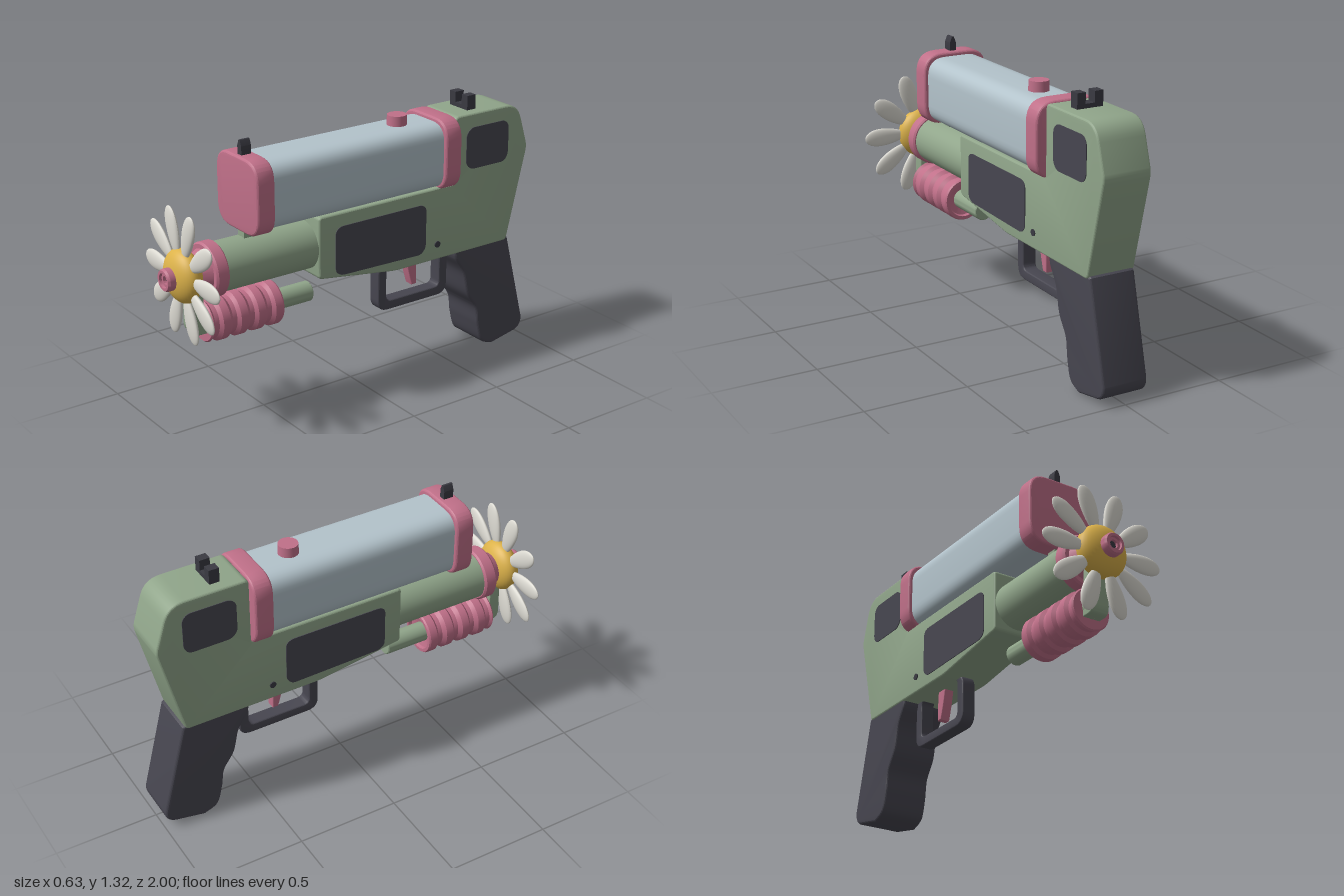
import * as THREE from 'three';
import { toCreasedNormals } from 'three/addons/utils/BufferGeometryUtils.js';

const V = (x, y) => new THREE.Vector2(x, y);
const mat = (name, color) => {
  const m = new THREE.MeshStandardMaterial({ color });
  m.name = name;
  return m;
};

// Closed polygon with rounded corners; each point is [x, y, radius]
function roundedShape(pts) {
  const s = new THREE.Shape();
  pts.forEach(([x, y, r = 0.02], i) => {
    const c = V(x, y);
    const toward = (p) => {
      const d = V(p[0], p[1]).sub(c);
      return c.clone().addScaledVector(d.clone().normalize(), Math.min(r, d.length() * 0.48));
    };
    const a = toward(pts[(i + pts.length - 1) % pts.length]);
    const b = toward(pts[(i + 1) % pts.length]);
    if (i === 0) s.moveTo(a.x, a.y); else s.lineTo(a.x, a.y);
    s.quadraticCurveTo(x, y, b.x, b.y);
  });
  s.closePath();
  return s;
}
const rect = (x0, x1, y0, y1, r) => roundedShape([[x0, y0, r], [x1, y0, r], [x1, y1, r], [x0, y1, r]]);

// Extrusion centred on its own depth, with the bevel kept inside the outline
function extrude(shape, depth, bevel) {
  const g = new THREE.ExtrudeGeometry(shape, {
    depth: depth - 2 * bevel, curveSegments: 8, bevelEnabled: bevel > 0,
    bevelThickness: bevel, bevelSize: bevel, bevelOffset: -bevel, bevelSegments: 4,
  });
  g.translate(0, 0, bevel - depth / 2);
  return toCreasedNormals(g, 0.3);
}
// Shape drawn in (z, y), extruded across x
const sideExtrude = (shape, width, bevel = 0) => extrude(shape, width, bevel).rotateY(-Math.PI / 2);
// Profile of [radius, z], turned around the z axis
const turned = (pts) => toCreasedNormals(
  new THREE.LatheGeometry(pts.map(([r, z]) => V(r, z)), 40), 0.5).rotateX(Math.PI / 2);

export function createModel() {
  const root = new THREE.Group();
  root.name = 'flowerBlaster';
  const green = mat('sage green', 0x90a58a);
  const pink = mat('rose pink', 0xc07089);
  const blue = mat('pale blue grey', 0xb3c3cb);
  const dark = mat('charcoal', 0x474650);
  const black = mat('sight black', 0x3a3a42);
  const yellow = mat('flower yellow', 0xdcb24a);
  const white = mat('petal white', 0xdcdad2);

  const add = (name, geo, material, x = 0, y = 0, z = 0, parent = root) => {
    const m = new THREE.Mesh(geo, material);
    m.name = name;
    m.position.set(x, y, z);
    parent.add(m);
    return m;
  };
  const box = (name, material, w, h, d, x, y, z) =>
    add(name, new THREE.BoxGeometry(w, h, d), material, x, y, z);

  // Main body
  add('body', sideExtrude(roundedShape([
    [0.26, 0.615, 0.02], [0.26, 0.915, 0.02], [-0.52, 0.915, 0.005], [-0.52, 1.245, 0.03],
    [-0.91, 1.245, 0.08], [-0.98, 1.02, 0.03], [-0.865, 0.55, 0.02], [-0.18, 0.55, 0.03],
  ]), 0.24, 0.012), green);

  // Dark side panels and pins, on both sides
  for (const s of [1, -1]) {
    add('lowerPanel', sideExtrude(roundedShape([
      [0.17, 0.63], [0.17, 0.83], [0.145, 0.85], [-0.33, 0.85], [-0.353, 0.83],
      [-0.353, 0.63], [-0.325, 0.6], [0.14, 0.61],
    ]), 0.006), dark, s * 0.1205);
    add('upperPanel', sideExtrude(roundedShape([
      [-0.59, 1.0], [-0.59, 1.15], [-0.62, 1.177], [-0.825, 1.177], [-0.85, 1.15],
      [-0.85, 1.0], [-0.825, 0.97], [-0.62, 0.97],
    ]), 0.006), dark, s * 0.1205);
    add('pin', new THREE.CylinderGeometry(0.016, 0.016, 0.008, 20).rotateZ(Math.PI / 2), black, s * 0.121, 0.63, -0.425);
  }

  // Grip with a wavy front edge
  const grip = new THREE.Shape();
  grip.moveTo(-0.545, 0.57);
  grip.splineThru([[-0.55, 0.52], [-0.6, 0.435], [-0.63, 0.315], [-0.685, 0.225],
    [-0.7, 0.13], [-0.73, 0.035], [-0.8, 0.0]].map((p) => V(...p)));
  grip.lineTo(-0.95, 0.03);
  grip.quadraticCurveTo(-1.0, 0.045, -0.997, 0.1);
  grip.lineTo(-0.88, 0.56);
  grip.lineTo(-0.86, 0.57);
  grip.closePath();
  add('grip', sideExtrude(grip, 0.23, 0.015), dark);

  // Trigger guard and trigger
  const guard = rect(-0.56, -0.14, 0.315, 0.57, 0.06);
  guard.holes.push(rect(-0.51, -0.19, 0.362, 0.555, 0.03));
  add('triggerGuard', sideExtrude(guard, 0.07, 0.008), dark);
  const trigger = new THREE.Shape();
  trigger.moveTo(-0.31, 0.57);
  trigger.quadraticCurveTo(-0.325, 0.48, -0.35, 0.405);
  trigger.lineTo(-0.378, 0.405);
  trigger.quadraticCurveTo(-0.38, 0.47, -0.37, 0.57);
  trigger.closePath();
  add('trigger', sideExtrude(trigger, 0.05, 0.005), pink);

  // Tank with end caps and button
  add('tank', extrude(rect(-0.15, 0.15, 0.912, 1.23, 0.09), 1.0, 0), blue, 0, 0, 0.04);
  for (const z of [0.568, -0.477]) {
    add('tankCap', extrude(rect(-0.17, 0.17, 0.9, 1.25, 0.1), 0.095, 0.015), pink, 0, 0, z);
  }
  add('button', new THREE.CylinderGeometry(0.046, 0.049, 0.07, 32), pink, 0, 1.243, -0.265);

  // Sights
  add('frontSight', extrude(roundedShape([
    [-0.016, 1.24, 0.001], [0.016, 1.24, 0.001], [0.016, 1.29, 0.002],
    [0.005, 1.318, 0.002], [-0.005, 1.318, 0.002], [-0.016, 1.29, 0.002],
  ]), 0.05, 0), black, 0, 0, 0.57);
  box('rearSightBase', black, 0.13, 0.03, 0.05, 0, 1.25, -0.66);
  for (const s of [1, -1]) box('rearSightPost', black, 0.042, 0.075, 0.05, s * 0.044, 1.278, -0.66);

  // Barrel, tank mount, collar and cone
  add('barrel', turned([[0, 0.2], [0.115, 0.2], [0.115, 0.76]]), green, 0, 0.755, 0);
  box('tankMount', green, 0.05, 0.09, 0.05, 0, 0.885, 0.573);
  add('collar', turned([
    [0, 0.735], [0.12, 0.735], [0.128, 0.743], [0.128, 0.793], [0.12, 0.802],
    [0.1, 0.802], [0.055, 0.89], [0, 0.89],
  ]), pink, 0, 0.755, 0);

  // Flower muzzle
  const flower = new THREE.Group();
  flower.name = 'flower';
  flower.position.y = 0.755;
  root.add(flower);
  add('flowerCentre', new THREE.SphereGeometry(0.125, 40, 24).scale(1, 1, 0.56), yellow, 0, 0, 0.9, flower);
  const petal = new THREE.SphereGeometry(1, 24, 16).rotateZ(Math.PI / 2);
  const p = petal.attributes.position;
  for (let i = 0; i < p.count; i++) {
    const u = p.getX(i);
    p.setXYZ(i, 0.2 + 0.115 * u, p.getY(i) * 0.046 * (0.95 + 0.28 * u), p.getZ(i) * 0.018);
  }
  petal.computeVertexNormals();
  for (let i = 0; i < 10; i++) {
    add('petal', petal, white, 0, 0, 0.905, flower).rotation.z = (i * Math.PI) / 5;
  }
  add('nozzle', turned([
    [0.052, 0.93], [0.052, 0.99], [0.046, 1.0], [0.034, 1.0], [0.032, 0.988], [0.02, 0.988], [0.02, 0.965],
  ]), pink, 0, 0, 0, flower);
  add('nozzleHole', new THREE.CircleGeometry(0.021, 24), black, 0, 0, 0.975, flower);

  // Pump handle: four rounded ribs with grooves, on a rod
  const ribs = [[0.04, 0.465], [0.08, 0.455], [0.085, 0.44], [0.1, 0.44]];
  for (let i = 0; i < 4; i++) {
    const z = 0.442 + i * 0.092;
    ribs.push([0.105, z + 0.006], [0.105, z + 0.044], [0.09, z + 0.058], [0.09, z + 0.08]);
  }
  ribs.push([0.1, 0.81], [0.094, 0.817], [0, 0.817]);
  add('pumpHandle', turned(ribs), pink, 0, 0.517, 0);
  add('pumpRod', turned([[0, 0.242], [0.044, 0.242], [0.048, 0.246], [0.048, 0.83], [0, 0.83]]), green, 0, 0.517, 0);

  // Bracket joining the pump to the muzzle
  add('pumpBracket', sideExtrude(roundedShape([
    [0.885, 0.5, 0.02], [0.88, 0.72, 0.01], [0.825, 0.72, 0.01], [0.825, 0.56, 0.02],
    [0.8, 0.54, 0.01], [0.8, 0.47, 0.005], [0.87, 0.47, 0.02],
  ]), 0.09, 0.006), green);

  return root;
}
